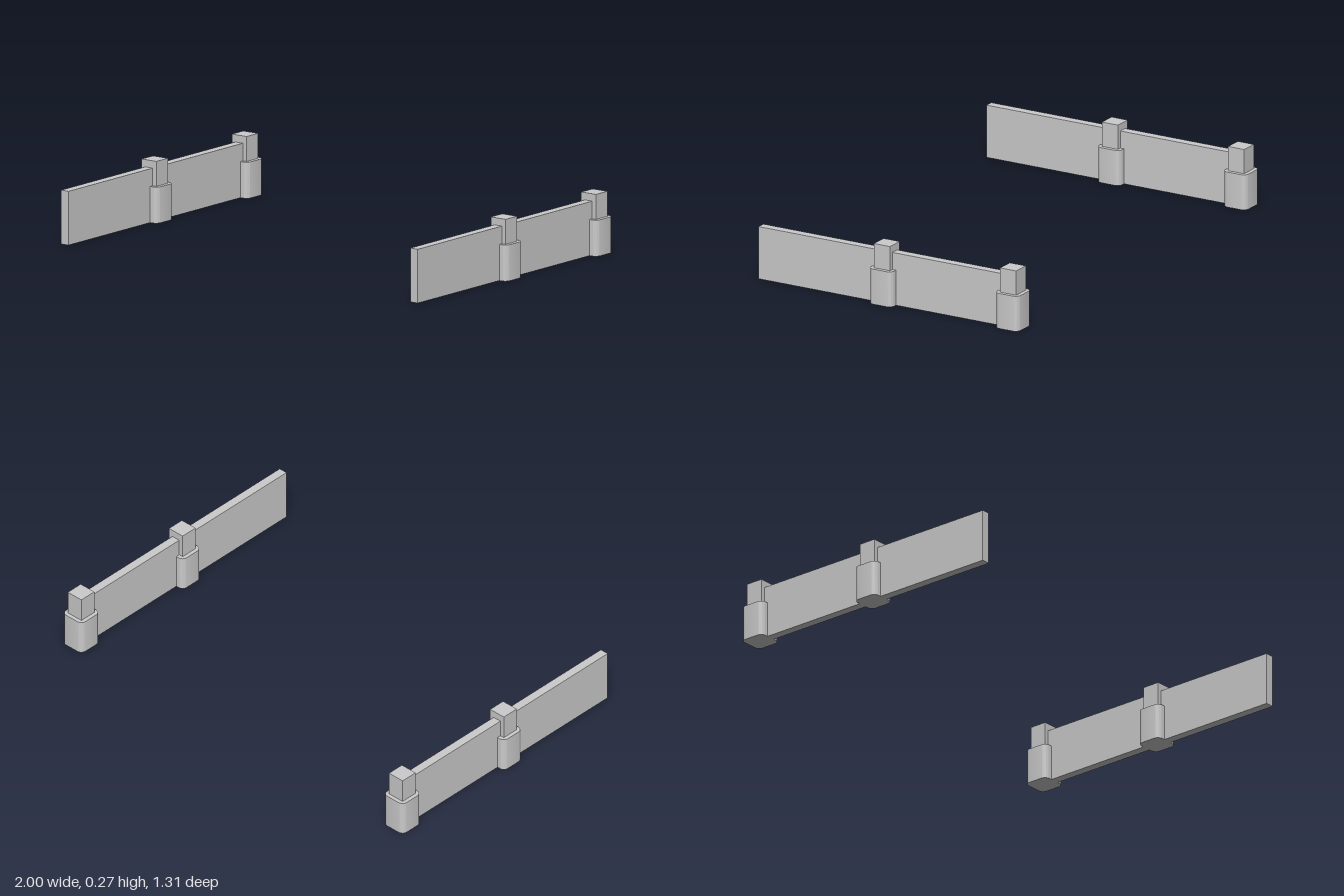
import * as THREE from 'three';
import { toCreasedNormals } from 'three/addons/utils/BufferGeometryUtils.js';

const material = new THREE.MeshStandardMaterial({ color: 0xcccccc });

// Upright block with a rounded-square footprint, standing on y = 0
function roundedPrism(width, height, radius) {
  const h = width / 2, c = h - radius;
  const shape = new THREE.Shape();
  shape.absarc(c, c, radius, 0, Math.PI / 2);
  shape.absarc(-c, c, radius, Math.PI / 2, Math.PI);
  shape.absarc(-c, -c, radius, Math.PI, Math.PI * 1.5);
  shape.absarc(c, -c, radius, Math.PI * 1.5, Math.PI * 2);
  shape.closePath();
  const geometry = new THREE.ExtrudeGeometry(shape, { depth: height, bevelEnabled: false, curveSegments: 8 });
  geometry.rotateX(-Math.PI / 2);
  return toCreasedNormals(geometry, Math.PI / 5);
}

function addMesh(parent, name, geometry, x, y, z) {
  const mesh = new THREE.Mesh(geometry, material);
  mesh.name = name;
  mesh.position.set(x, y, z);
  parent.add(mesh);
}

export function createModel() {
  const model = new THREE.Group();
  model.name = 'railings';

  const baseGeometry = roundedPrism(0.116, 0.158, 0.025);
  const pillarGeometry = new THREE.BoxGeometry(0.08, 0.267, 0.08);
  const wallBack = -0.6, wallFront = 0.656;
  const wallGeometry = new THREE.BoxGeometry(0.04, 0.235, wallFront - wallBack);

  for (const side of [-1, 1]) {
    const railing = new THREE.Group();
    railing.name = side > 0 ? 'leftRailing' : 'rightRailing';
    railing.position.x = side * 0.942;

    // Long parapet wall
    addMesh(railing, 'wall', wallGeometry, 0, 0.1175, (wallFront + wallBack) / 2);

    // Middle and back posts, each a square pillar in a rounded base
    for (const [name, z] of [['middlePost', 0.03], ['backPost', -0.598]]) {
      const post = new THREE.Group();
      post.name = name;
      post.position.z = z;
      addMesh(post, 'postBase', baseGeometry, 0, 0, 0);
      addMesh(post, 'postPillar', pillarGeometry, 0, 0.1335, 0);
      railing.add(post);
    }
    model.add(railing);
  }
  return model;
}
